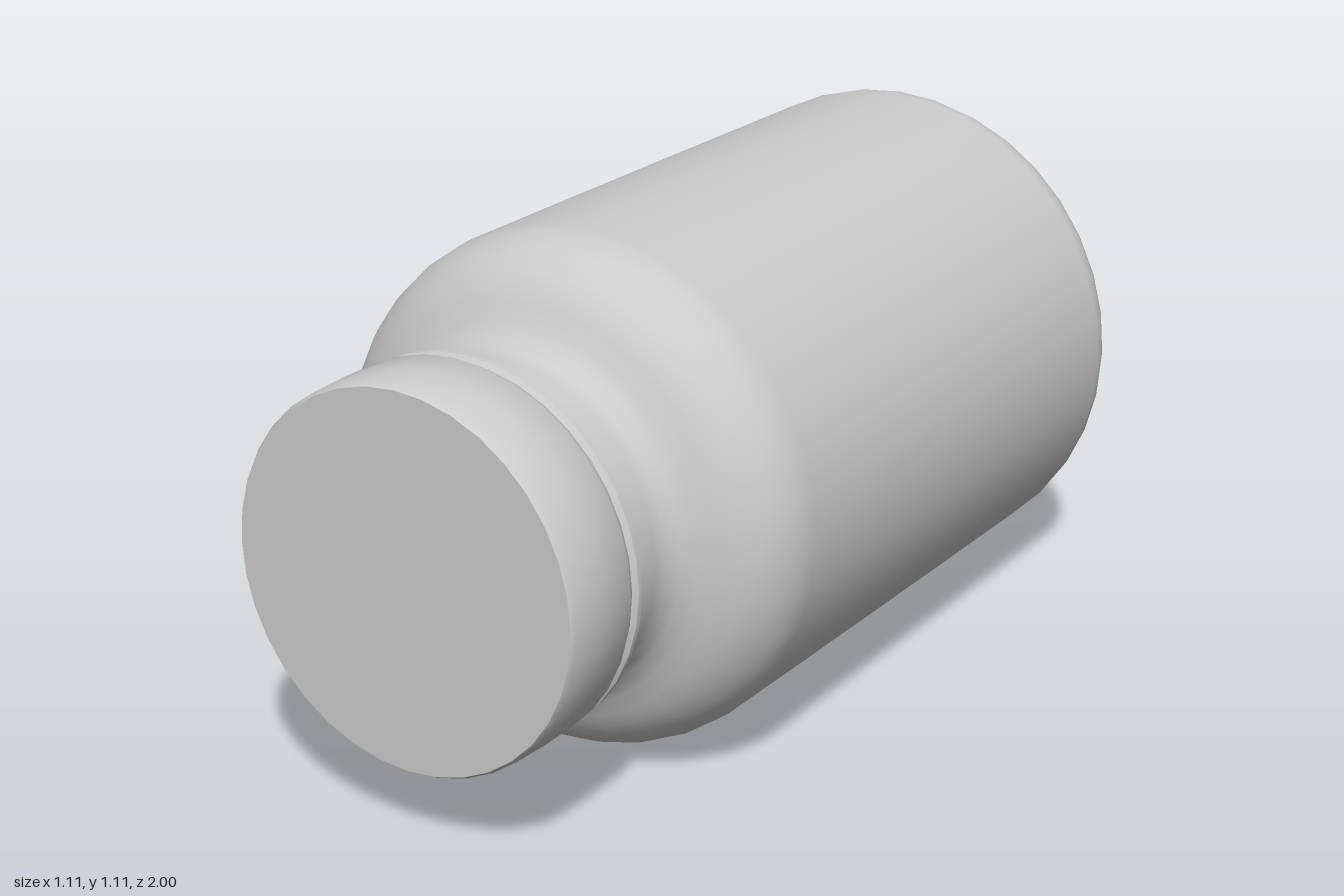
import * as THREE from 'three';
import { toCreasedNormals } from 'three/addons/utils/BufferGeometryUtils.js';

const SEGMENTS = 36;
const AXIS_Y = 0.557;

// Turn a profile of [radius, z] pairs, back to front, about the z axis
function turned(name, profile, crease) {
  let geometry = new THREE.LatheGeometry(profile.map(([r, z]) => new THREE.Vector2(r, z)), SEGMENTS);
  geometry.rotateX(Math.PI / 2);
  if (crease) geometry = toCreasedNormals(geometry, crease);
  const mesh = new THREE.Mesh(geometry, new THREE.MeshStandardMaterial({ color: 0xcccccc }));
  mesh.name = name;
  return mesh;
}

// Quarter-ellipse arc of profile points between two angles in degrees
function arc(r, z, radiusR, radiusZ, from, to, steps = 6) {
  return Array.from({ length: steps + 1 }, (_, i) => {
    const a = THREE.MathUtils.degToRad(from + (to - from) * i / steps);
    return [r + radiusR * Math.cos(a), z + radiusZ * Math.sin(a)];
  });
}

export function createModel() {
  const model = new THREE.Group();
  model.name = 'bottle';

  // Bottle: dished base, rounded heel, straight wall, round shoulder and neck
  const bottle = turned('bottleBody', [
    [0, -0.92], [0.15, -0.922], [0.23, -0.93], [0.29, -0.955], [0.34, -0.983], [0.39, -0.998],
    ...arc(0.43, -0.88, 0.125, 0.12, -90, 0),
    [0.555, -0.4], [0.554, 0.1],
    ...arc(0.373, 0.39, 0.18, 0.19, 0, 68),
    [0.405, 0.582], [0.378, 0.602], [0.361, 0.628], [0.356, 0.66], [0.356, 0.77],
  ]);

  // Cap: lipped skirt with a flat closed front
  const cap = turned('cap', [
    [0.34, 0.755], [0.385, 0.762], [0.397, 0.772], [0.397, 0.784], [0.387, 0.792],
    [0.392, 0.802], [0.4, 0.815], [0.401, 0.9], [0.398, 0.99], [0.392, 1], [0, 1],
  ], Math.PI / 4.5);
  cap.position.set(0.005, 0.005, 0);

  model.add(bottle, cap);
  model.children.forEach((part) => { part.position.y += AXIS_Y; });
  return model;
}
